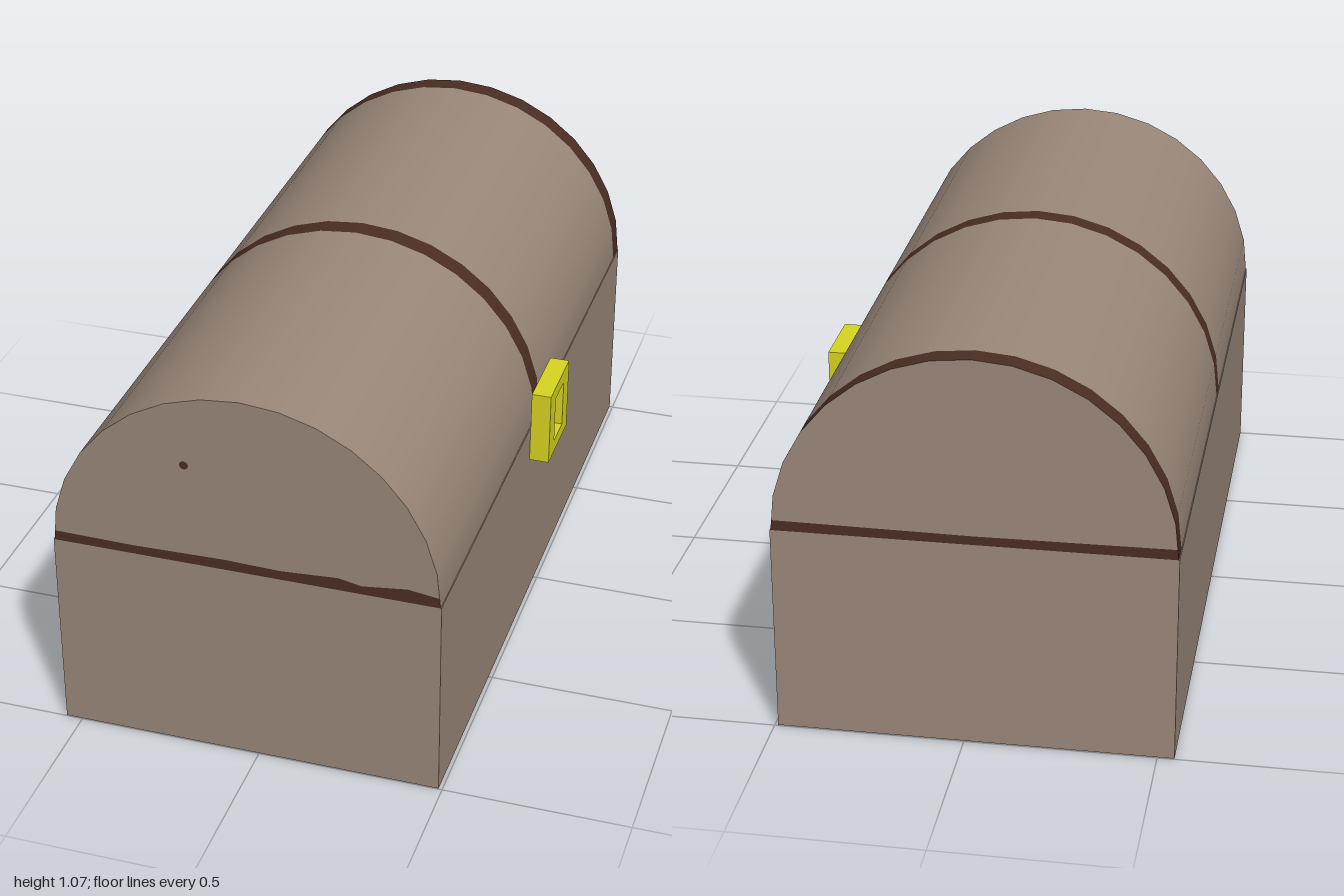
import * as THREE from 'three';

const wood = new THREE.MeshStandardMaterial({ color: 0x9b887a });
wood.name = 'wood';
const strap = new THREE.MeshStandardMaterial({ color: 0x4b2e24 });
strap.name = 'darkStrap';
const brass = new THREE.MeshStandardMaterial({ color: 0xd9d521 });
brass.name = 'yellowMetal';

const CX = -0.027, SEAM = 0.57, RX = 0.515, RY = 0.5, SEGMENTS = 16;

function add(parent, name, geometry, material, x = 0, y = 0, z = 0) {
  const mesh = new THREE.Mesh(geometry, material);
  mesh.name = name;
  mesh.position.set(x, y, z);
  parent.add(mesh);
  return mesh;
}

// Slice of the arched lid between two z positions
function archSlice(z0, z1) {
  const g = new THREE.CylinderGeometry(1, 1, z1 - z0, SEGMENTS, 1, true, Math.PI / 2, Math.PI);
  g.rotateX(Math.PI / 2);
  g.scale(RX, RY, 1);
  g.translate(0, 0, (z0 + z1) / 2);
  return g;
}

// Lid end: arched panel above an uneven dark strip
function addLidEnd(lid, name, side, edge) {
  const end = new THREE.Group();
  end.name = name;
  const points = edge.map(([x, y]) => new THREE.Vector2(x * side, y));
  const arc = [];
  for (let i = 1; i < SEGMENTS; i++) {
    const a = (i / SEGMENTS) * Math.PI;
    arc.push(new THREE.Vector2(RX * Math.cos(a) * side, RY * Math.sin(a)));
  }
  const base = [new THREE.Vector2(RX * side, 0), new THREE.Vector2(-RX * side, 0)];
  const panel = new THREE.ShapeGeometry(new THREE.Shape([...points, ...arc]));
  const strip = new THREE.ShapeGeometry(new THREE.Shape([...points, ...base]));
  if (side < 0) [panel, strip].forEach((g) => g.rotateY(0));
  const turn = side < 0 ? Math.PI : 0;
  for (const [n, g, m] of [['endPanel', panel, wood], ['endStrip', strip, strap]]) {
    // The back end is mirrored in x, so half a turn puts it the right way round
    add(end, n, g, m).rotation.y = turn;
  }
  end.position.z = side;
  lid.add(end);
}

export function createModel() {
  const chest = new THREE.Group();
  chest.name = 'chest';

  // Box-shaped base with a dark strip under the back edge
  add(chest, 'base', new THREE.BoxGeometry(1.035, SEAM - 0.002, 2), wood, CX, SEAM / 2 + 0.001, 0);
  const under = new THREE.PlaneGeometry(1.035, 0.11);
  under.rotateX(Math.PI / 2);
  add(chest, 'undersideStrip', under, strap, CX, 0, -0.945);

  // Arched lid with two dark bands
  const lid = new THREE.Group();
  lid.name = 'lid';
  lid.position.set(CX, SEAM, 0);
  chest.add(lid);
  add(lid, 'backBand', archSlice(-1, -0.94), strap);
  add(lid, 'backLidHalf', archSlice(-0.94, 0), wood);
  add(lid, 'middleBand', archSlice(0, 0.06), strap);
  add(lid, 'frontLidHalf', archSlice(0.06, 1), wood);

  addLidEnd(lid, 'frontEnd', 1, [
    [-0.512, 0.028], [-0.3, 0.025], [-0.05, 0.03], [0.1, 0.026], [0.25, 0.036],
    [0.31, 0.024], [0.43, 0.039], [0.512, 0.028],
  ]);
  addLidEnd(lid, 'backEnd', -1, [[-0.512, 0.028], [0, 0.024], [0.512, 0.028]]);

  // Small dark knot on the front of the lid
  add(lid, 'knot', new THREE.CircleGeometry(0.012, 10), strap, -0.15, 0.293, 1.001);

  // Lock: square frame around a recessed keyhole, on the right side
  const lock = new THREE.Group();
  lock.name = 'lock';
  lock.position.set(0.4905, SEAM, 0);
  lock.rotation.y = Math.PI / 2;
  chest.add(lock);
  const h = 0.105;
  const frame = new THREE.Shape([
    new THREE.Vector2(-h, -h), new THREE.Vector2(h, -h),
    new THREE.Vector2(h, h), new THREE.Vector2(-h, h),
  ]);
  frame.holes.push(new THREE.Path([
    new THREE.Vector2(-0.046, -0.068), new THREE.Vector2(-0.046, 0.067),
    new THREE.Vector2(0.046, 0.067), new THREE.Vector2(0.046, -0.068),
  ]));
  add(lock, 'lockFrame', new THREE.ExtrudeGeometry(frame, { depth: 0.054, bevelEnabled: false }), brass);
  add(lock, 'lockRecess', new THREE.BoxGeometry(0.092, 0.135, 0.012), brass, 0, 0, 0.006);

  return chest;
}
